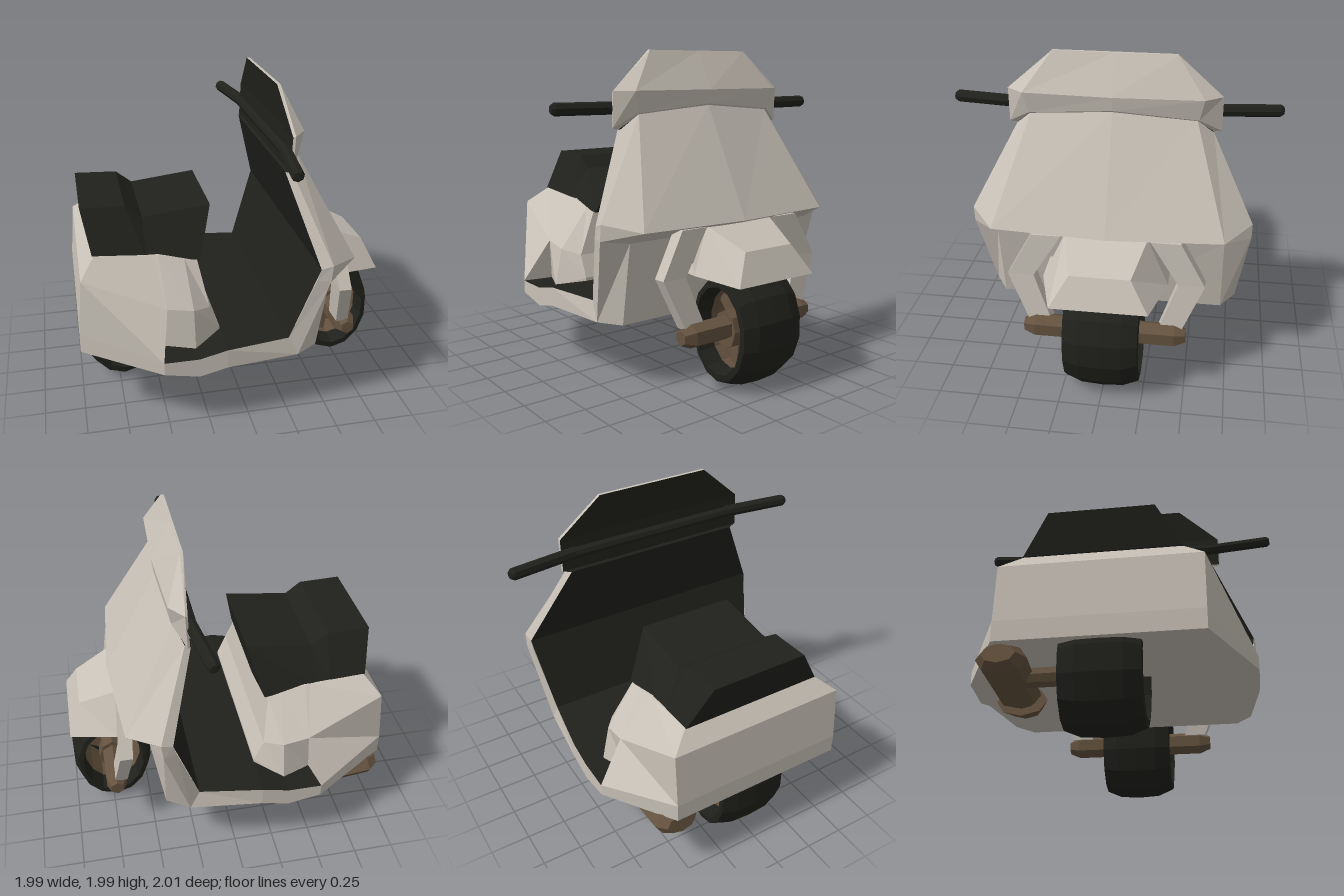
import * as THREE from 'three';

const mat = (color) => new THREE.MeshStandardMaterial({ color, flatShading: true, side: THREE.DoubleSide, roughness: 0.9 });

// Skin a grid of points: each row is joined to the next one
function loft(rows) {
  const pos = [];
  for (let i = 0; i + 1 < rows.length; i++) {
    for (let j = 0; j + 1 < rows[i].length; j++) {
      const a = rows[i][j], b = rows[i][j + 1], c = rows[i + 1][j + 1], d = rows[i + 1][j];
      pos.push(...a, ...b, ...c, ...a, ...c, ...d);
    }
  }
  const g = new THREE.BufferGeometry();
  g.setAttribute('position', new THREE.Float32BufferAttribute(pos, 3));
  g.computeVertexNormals();
  return g;
}

// Complete half rows (listed outwards from the middle) with their mirror image
const mirrored = (rows) => rows.map((r) => [...r.map(([x, y, z]) => [x, y, -z]).reverse(), ...r]);

export function createModel() {
  const model = new THREE.Group();
  const paint = mat(0xc8c1b7), black = mat(0x20211c), brown = mat(0x64523f);

  const add = (name, geometry, material, parent = model) => {
    const mesh = new THREE.Mesh(geometry, material);
    mesh.name = name;
    parent.add(mesh);
    return mesh;
  };
  // Bar between two points
  const bar = (name, a, b, r0, r1, sides, material, parent) => {
    const A = new THREE.Vector3(...a), B = new THREE.Vector3(...b), d = B.clone().sub(A);
    const m = add(name, new THREE.CylinderGeometry(r1, r0, d.length(), sides), material, parent);
    m.position.copy(A).add(B).multiplyScalar(0.5);
    m.quaternion.setFromUnitVectors(new THREE.Vector3(0, 1, 0), d.normalize());
    return m;
  };

  // Leg shield, running on into the underside and the floor skirt
  add('legShield', loft(mirrored([
    [[0.36, 1.67, 0], [0.33, 1.63, 0.5], [0.28, 1.54, 0.6], [0.24, 1.54, 0.59]],
    [[0.71, 1.0, 0], [0.66, 1.0, 0.7], [0.47, 1.04, 0.86], [0.4, 1.02, 0.85]],
    [[0.53, 0.92, 0], [0.52, 0.92, 0.7], [0.46, 0.94, 0.86], [0.38, 0.95, 0.845]],
    [[0.44, 0.42, 0], [0.44, 0.42, 0.7], [0.3, 0.42, 0.79], [0.24, 0.54, 0.78]],
    [[-0.15, 0.42, 0], [-0.15, 0.42, 0.7], [-0.15, 0.42, 0.84], [-0.15, 0.54, 0.84]],
    [[-0.32, 0.38, 0], [-0.32, 0.38, 0.7], [-0.32, 0.38, 0.84], [-0.32, 0.5, 0.84]],
    [[-0.53, 0.42, 0], [-0.53, 0.42, 0.7], [-0.53, 0.42, 0.84], [-0.53, 0.5, 0.84]],
    [[-1, 0.48, 0], [-1, 0.48, 0.5], [-1, 0.48, 0.58], [-1, 0.5, 0.58]],
  ])), paint);

  // Dark inside of the shield and the floor
  add('footwell', loft(mirrored([
    [[0.24, 2.0, 0], [0.24, 2.0, 0.37]],
    [[0.265, 1.76, 0], [0.265, 1.76, 0.64]],
    [[0.255, 1.55, 0], [0.255, 1.55, 0.64]],
    [[0.24, 1.54, 0], [0.24, 1.54, 0.59]],
    [[0.4, 1.02, 0], [0.4, 1.02, 0.85]],
    [[0.24, 0.54, 0], [0.24, 0.54, 0.78]],
    [[-0.15, 0.54, 0], [-0.15, 0.54, 0.84]],
    [[-0.32, 0.5, 0], [-0.32, 0.5, 0.84]],
    [[-0.53, 0.5, 0], [-0.53, 0.5, 0.84]],
  ])), black);

  // Cowl around the handlebar
  add('handlebarCowl', loft(mirrored([
    [[0.24, 2.0, 0], [0.24, 2.0, 0.37], [0.24, 2.0, 0.37], [0.24, 2.0, 0.37]],
    [[0.26, 2.0, 0], [0.26, 2.0, 0.37], [0.26, 2.0, 0.37], [0.24, 2.0, 0.37]],
    [[0.38, 1.765, 0], [0.36, 1.765, 0.54], [0.28, 1.765, 0.645], [0.265, 1.76, 0.64]],
    [[0.37, 1.68, 0], [0.34, 1.635, 0.51], [0.27, 1.55, 0.645], [0.255, 1.55, 0.64]],
    [[0.35, 1.66, 0], [0.32, 1.62, 0.5], [0.26, 1.54, 0.6], [0.24, 1.54, 0.59]],
  ])), paint);

  // Handlebar with two swept grips
  bar('handlebar', [0.24, 1.665, -0.6], [0.24, 1.665, 0.6], 0.035, 0.035, 8, black);
  for (const s of [1, -1]) {
    bar('grip', [0.245, 1.665, s * 0.55], [0.19, 1.665, s * 0.98], 0.038, 0.038, 8, black);
    bar('gripEnd', [0.19, 1.665, s * 0.98], [0.187, 1.665, s], 0.038, 0.025, 8, black);
  }

  // Rear body: rows from back to front, each from the top middle down
  const tail = [
    [[-0.88, 1.05, 0], [-0.88, 1.05, 0.46], [-0.97, 0.95, 0.58], [-1, 0.6, 0.58], [-1, 0.48, 0.58]],
    [[-0.53, 1.02, 0], [-0.53, 1.02, 0.46], [-0.48, 0.76, 0.67], [-0.53, 0.5, 0.84], [-0.53, 0.42, 0.84]],
    [[-0.5, 1.02, 0], [-0.5, 1.02, 0.46], [-0.48, 0.76, 0.67], [-0.5, 0.5, 0.65], [-0.5, 0.42, 0.65]],
    [[-0.34, 0.98, 0], [-0.34, 0.98, 0.46], [-0.32, 0.73, 0.67], [-0.32, 0.49, 0.72], [-0.32, 0.4, 0.72]],
    [[-0.26, 0.96, 0], [-0.26, 0.96, 0.46], [-0.21, 0.7, 0.59], [-0.15, 0.56, 0.59], [-0.15, 0.43, 0.59]],
  ];
  const flat = (row) => row.map(([x, y]) => [x, y, 0]);
  add('rearBody', loft(mirrored([flat(tail[0]), ...tail, flat(tail[4])])), paint);

  // Stepped seat tapering outwards to its base
  add('seat', loft(mirrored([
    [[-0.89, 1.05, 0], [-0.89, 1.05, 0.46], [-0.89, 1.05, 0.46]],
    [[-0.94, 1.3, 0], [-0.94, 1.3, 0.31], [-0.89, 1.05, 0.46]],
    [[-0.67, 1.29, 0], [-0.67, 1.29, 0.31], [-0.66, 1.02, 0.46]],
    [[-0.57, 1.21, 0], [-0.57, 1.21, 0.31], [-0.57, 1.01, 0.46]],
    [[-0.15, 1.26, 0], [-0.15, 1.26, 0.31], [-0.24, 0.96, 0.46]],
    [[-0.19, 1.05, 0], [-0.19, 1.05, 0.31], [-0.24, 0.96, 0.46]],
    [[-0.24, 0.96, 0], [-0.24, 0.96, 0.46], [-0.24, 0.96, 0.46]],
  ])), black);

  // Front mudguard
  add('frontMudguard', loft(mirrored([
    [[0.49, 0.73, 0], [0.49, 0.73, 0.22], [0.49, 0.73, 0.38]],
    [[0.65, 0.99, 0], [0.65, 0.99, 0.25], [0.7, 0.72, 0.38]],
    [[0.91, 0.87, 0], [0.91, 0.87, 0.18], [0.99, 0.69, 0.29]],
    [[0.99, 0.69, 0], [0.99, 0.69, 0.29], [0.99, 0.69, 0.29]],
  ])), paint);

  // Bent fork legs
  const forkRing = (x, y, z0, z1) => [[x, y, z0], [x, y, z1], [x + 0.08, y, z1], [x + 0.08, y, z0], [x, y, z0]];
  for (const s of [1, -1]) {
    add('forkLeg', loft([
      forkRing(0.6, 0.99, s * 0.27, s * 0.27),
      forkRing(0.6, 0.99, s * 0.27, s * 0.45),
      forkRing(0.62, 0.72, s * 0.44, s * 0.6),
      forkRing(0.66, 0.42, s * 0.33, s * 0.47),
      forkRing(0.66, 0.42, s * 0.33, s * 0.33),
    ]), paint);
  }

  // Wheels: tyre, rim, hub and three spokes, narrowed along x
  const tyre = [[0.255, -0.13], [0.27, -0.23], [0.31, -0.225], [0.35, -0.13], [0.358, 0],
    [0.35, 0.13], [0.31, 0.225], [0.27, 0.23], [0.255, 0.13], [0.255, -0.13]].map(([r, h]) => new THREE.Vector2(r, h));
  const addWheel = (name, x) => {
    const wheel = new THREE.Group();
    wheel.name = name;
    wheel.position.set(x, 0.365, 0);
    wheel.scale.x = 0.755;
    model.add(wheel);
    add('tyre', new THREE.LatheGeometry(tyre, 14), black, wheel).rotation.x = Math.PI / 2;
    add('rim', new THREE.CylinderGeometry(0.25, 0.25, 0.24, 14, 1, true), brown, wheel).rotation.x = Math.PI / 2;
    add('hub', new THREE.CylinderGeometry(0.12, 0.12, 0.34, 8), brown, wheel).rotation.x = Math.PI / 2;
    for (let i = 0; i < 3; i++) {
      const a = 0.35 + i * Math.PI * 2 / 3;
      const spoke = add('spoke', new THREE.BoxGeometry(0.24, 0.075, 0.14), brown, wheel);
      spoke.position.set(Math.cos(a) * 0.14, Math.sin(a) * 0.14, 0);
      spoke.rotation.z = a;
    }
  };
  addWheel('frontWheel', 0.73);
  addWheel('rearWheel', -0.72);

  // Axles
  bar('frontAxle', [0.73, 0.38, -0.43], [0.73, 0.38, 0.43], 0.075, 0.075, 6, brown);
  for (const s of [1, -1]) bar('axleEnd', [0.73, 0.38, s * 0.43], [0.73, 0.38, s * 0.5], 0.075, 0.045, 6, brown);
  bar('rearAxle', [-0.72, 0.37, -0.5], [-0.72, 0.37, 0.2], 0.06, 0.06, 8, brown);

  // Exhaust along the right side
  const exhaust = new THREE.Group();
  exhaust.name = 'exhaust';
  exhaust.position.z = -0.54;
  exhaust.scale.z = 1.6;
  model.add(exhaust);
  bar('exhaustTip', [-0.98, 0.42, 0], [-0.92, 0.41, 0], 0.06, 0.09, 8, brown, exhaust);
  bar('muffler', [-0.92, 0.41, 0], [-0.52, 0.34, 0], 0.09, 0.08, 8, brown, exhaust);
  bar('exhaustNeck', [-0.52, 0.34, 0], [-0.46, 0.33, 0], 0.05, 0.05, 8, brown, exhaust);
  bar('exhaustHead', [-0.46, 0.33, 0], [-0.35, 0.315, 0], 0.095, 0.06, 8, brown, exhaust);

  return model;
}
